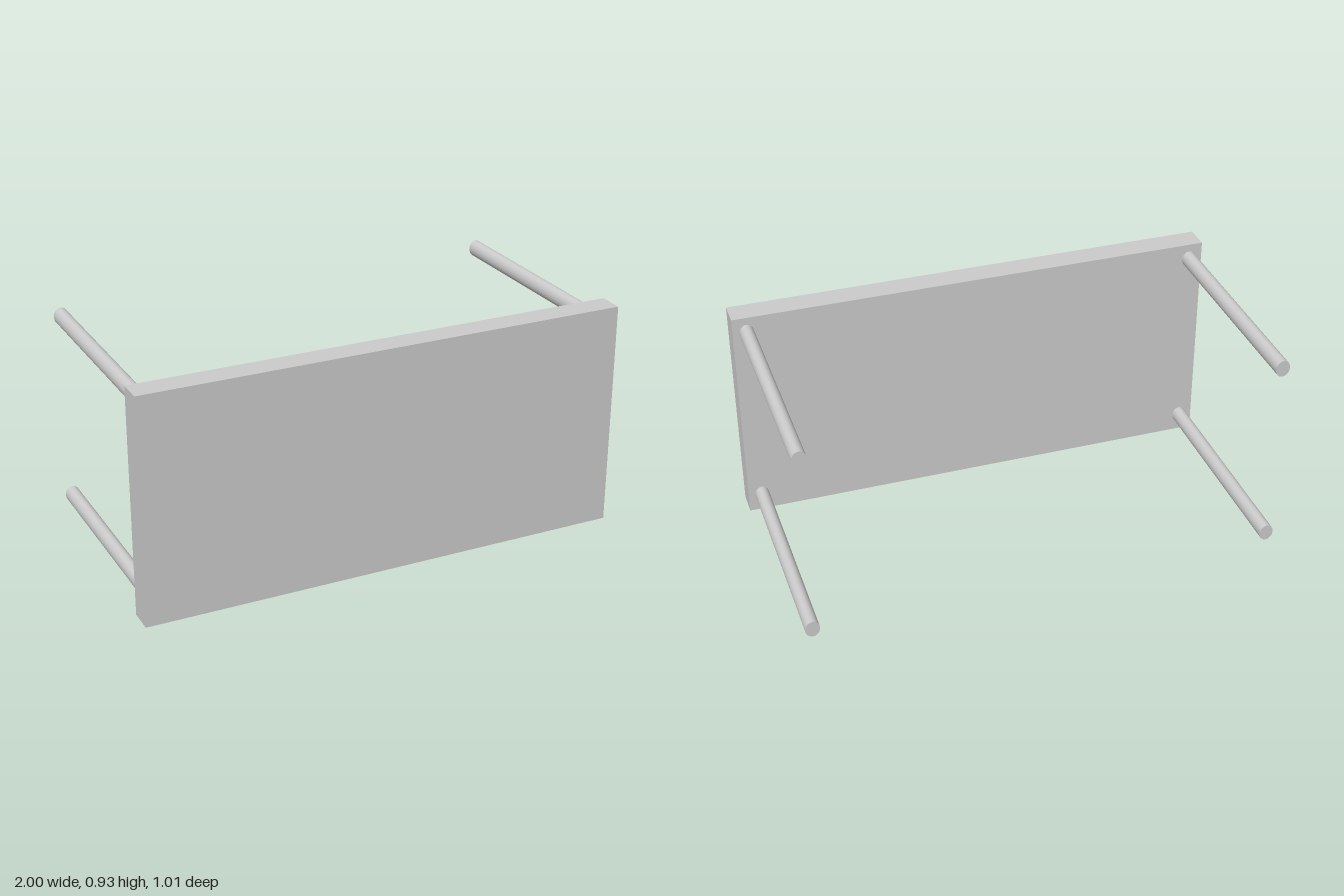
import * as THREE from 'three';

const WIDTH = 2, HEIGHT = 0.93, BACK = -0.507, FRONT = 0.507, TOP_BACK = 0.403;

export function createModel() {
  const table = new THREE.Group();
  table.name = 'table';
  const material = new THREE.MeshStandardMaterial({ color: 0xcccccc });

  // Table top, standing on its long edge
  const thickness = FRONT - TOP_BACK;
  const top = new THREE.Mesh(new THREE.BoxGeometry(WIDTH, HEIGHT, thickness), material);
  top.name = 'tableTop';
  top.position.set(0, HEIGHT / 2, TOP_BACK + thickness / 2);
  table.add(top);

  // Four slim legs of slightly oval section, pointing backwards
  const length = TOP_BACK - BACK;
  const legGeometry = new THREE.CylinderGeometry(1, 1, length, 32);
  legGeometry.rotateX(Math.PI / 2);
  legGeometry.scale(0.029, 0.035, 1);
  for (const [side, x] of [['Left', 0.943], ['Right', -0.943]]) {
    for (const [level, y] of [['lower', 0.076], ['upper', 0.864]]) {
      const leg = new THREE.Mesh(legGeometry, material);
      leg.name = `${level}${side}Leg`;
      leg.position.set(x, y, BACK + length / 2);
      table.add(leg);
    }
  }
  return table;
}
